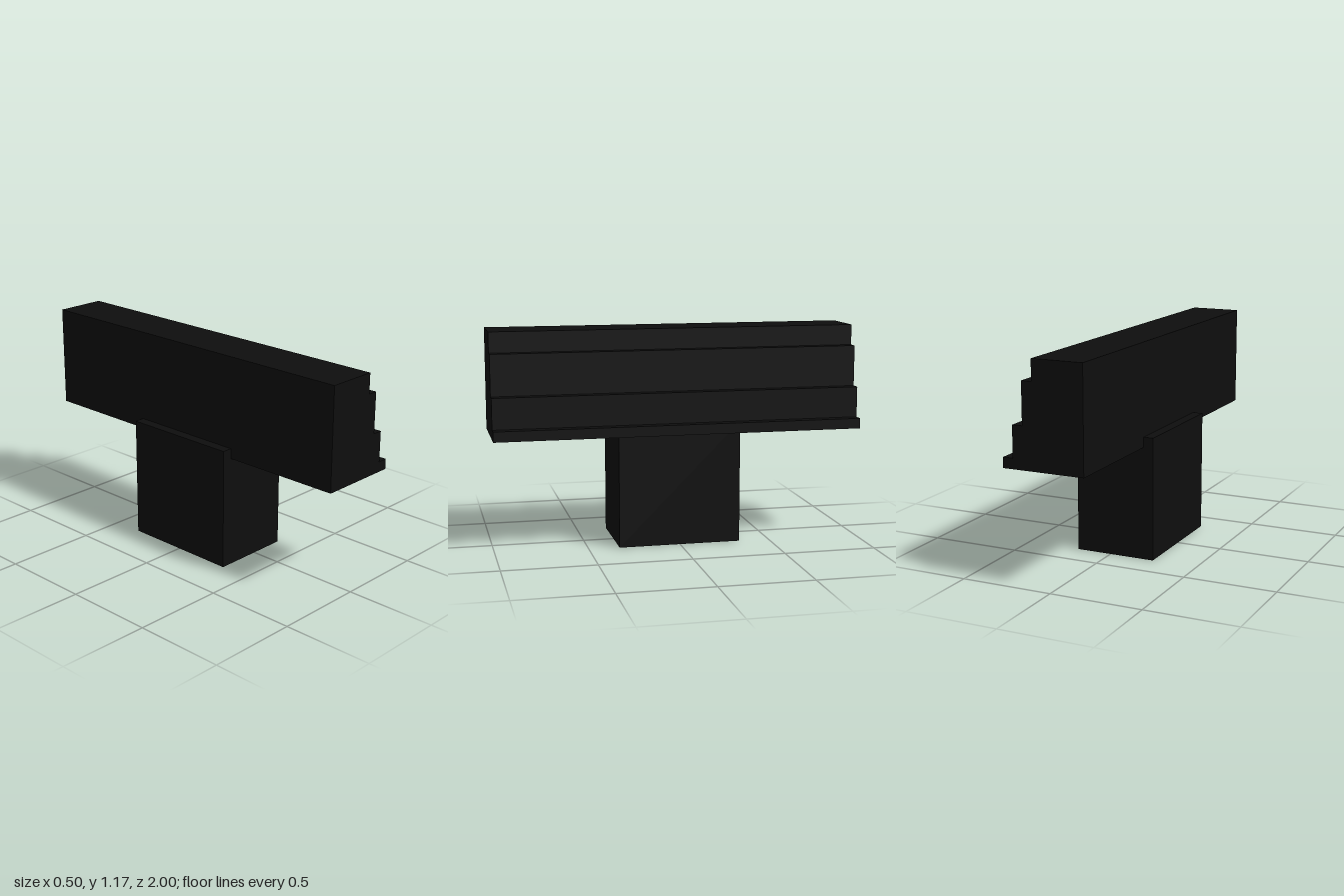
import * as THREE from 'three';

export function createModel() {
  const model = new THREE.Group();
  const black = new THREE.MeshStandardMaterial({ color: 0x0e0e0e });
  black.name = 'black';
  const u = 1 / 18; // all sizes are multiples of this step

  // Stepped beam: cross-section in x, y run along z
  const section = [
    [-3.5, 11], [4.5, 11], [4.5, 12], [3.5, 12], [3.5, 15],
    [2.5, 15], [2.5, 19], [1.5, 19], [1.5, 21], [-3.5, 21],
  ];
  const shape = new THREE.Shape(section.map(([x, y]) => new THREE.Vector2(x * u, y * u)));
  const beamGeometry = new THREE.ExtrudeGeometry(shape, { depth: 2, bevelEnabled: false });
  beamGeometry.translate(0, 0, -1);
  const beam = new THREE.Mesh(beamGeometry, black);
  beam.name = 'steppedBeam';
  model.add(beam);

  // Supporting block, standing proud of the beam's flat side
  const block = new THREE.Mesh(new THREE.BoxGeometry(8 * u, 12 * u, 12 * u), black);
  block.position.set(-0.5 * u, 6 * u, 0);
  block.name = 'supportBlock';
  model.add(block);

  return model;
}
